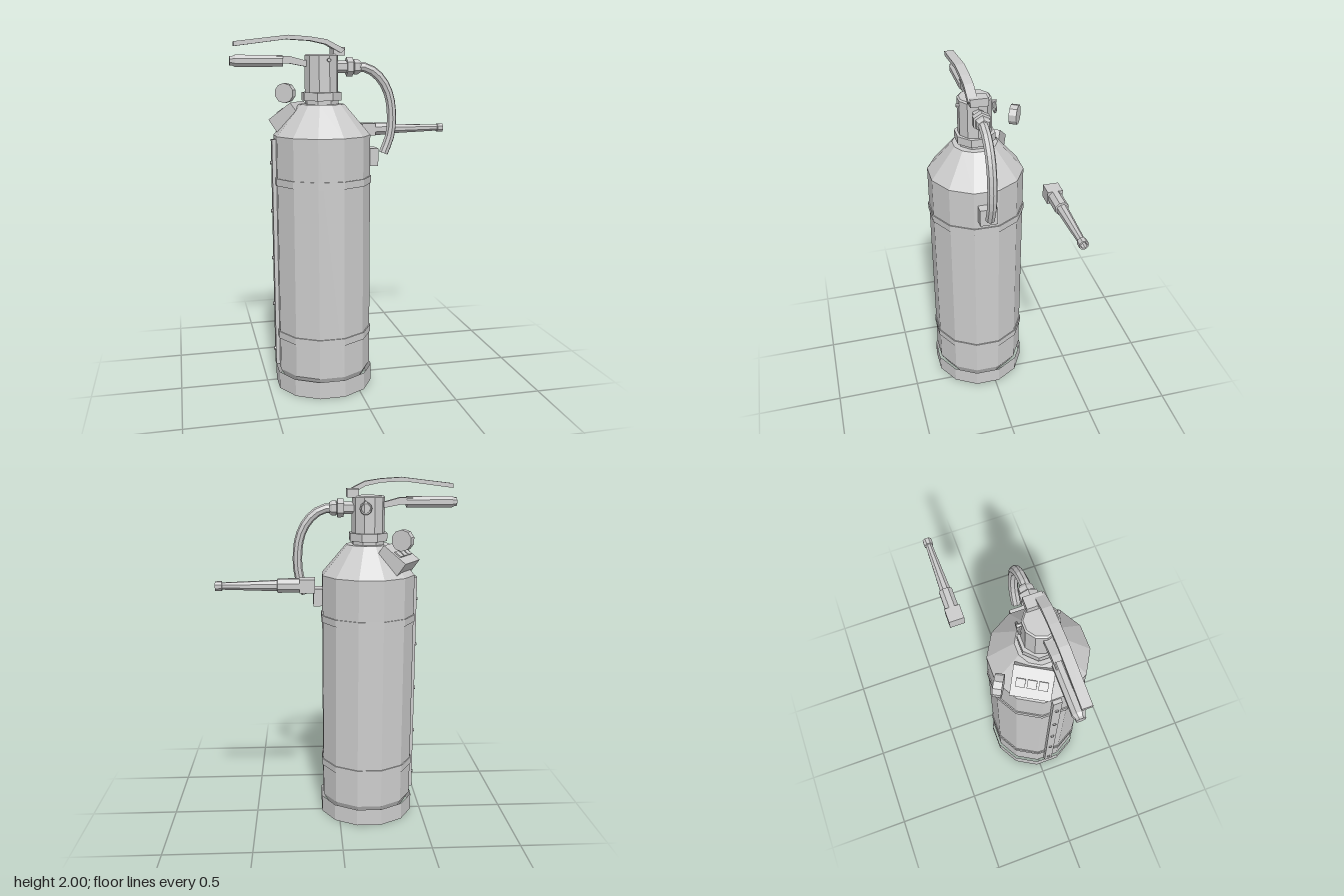
import * as THREE from 'three';

const grey = new THREE.MeshStandardMaterial({ color: 0xcccccc, flatShading: true });
const greyOpen = new THREE.MeshStandardMaterial({ color: 0xcccccc, flatShading: true, side: THREE.DoubleSide });
const AX = -0.17, AZ = 0.05; // cylinder axis
const V = (x, y, z) => new THREE.Vector3(x, y, z);

export function createModel() {
  const model = new THREE.Group();

  const add = (name, geo, x = 0, y = 0, z = 0, parent = model, mat = grey) => {
    const mesh = new THREE.Mesh(geo, mat);
    mesh.name = name;
    mesh.position.set(x, y, z);
    parent.add(mesh);
    return mesh;
  };
  const box = (w, h, d) => new THREE.BoxGeometry(w, h, d);
  // upright turned part; profile radii are distances to the flats
  const turned = (profile, sides) => new THREE.LatheGeometry(
    profile.map(([r, y]) => new THREE.Vector2(r / Math.cos(Math.PI / sides), y)), sides, Math.PI / sides);
  // turned part lying along +x
  const turnedX = (profile, sides) => turned(profile, sides).rotateZ(-Math.PI / 2);

  // tank with tapered bottom and sloped shoulder
  add('tank', turned([[0, 0.03], [0.215, 0.03], [0.262, 0.115], [0.262, 1.46], [0.122, 1.63], [0, 1.63]], 12), AX, 0, AZ);
  add('baseRing', turned([[0.272, 0], [0.272, 0.1]], 12), AX, 0, AZ, model, greyOpen);
  for (const y of [0.325, 1.21])
    add('tankBand', turned([[0.26, -0.02], [0.268, -0.02], [0.268, 0.02], [0.26, 0.02]], 12), AX, y, AZ);

  // riveted strip down the side
  add('sideStrip', box(0.03, 1.31, 0.05), -0.439, 0.785, AZ);
  for (let i = 0; i < 5; i++)
    add('rivet', new THREE.CylinderGeometry(0.01, 0.01, 0.012, 6).rotateZ(Math.PI / 2), -0.457, 0.22 + i * 0.2725, AZ);

  // slanted indicator box on the shoulder: local x runs outward, z along its length
  const panel = new THREE.Group();
  panel.name = 'indicatorPanel';
  panel.position.set(AX, 0, AZ);
  panel.rotation.y = Math.PI * 5 / 6;
  model.add(panel);
  const slant = new THREE.Group();
  slant.name = 'slantedBox';
  slant.position.set(0.211, 1.592, 0);
  slant.rotation.z = -0.63;
  panel.add(slant);
  add('panelBox', box(0.162, 0.09, 0.21), 0, -0.045, 0, slant);
  for (const z of [-0.058, 0, 0.058])
    add('indicatorWindow', box(0.045, 0.008, 0.048), 0.006, 0.003, z, slant);

  // round gauge beside the neck
  const gauge = add('gauge', new THREE.CylinderGeometry(0.058, 0.058, 0.045, 10).rotateX(Math.PI / 2), -0.333, 1.68, -0.223);
  gauge.rotation.y = -0.52;

  // neck nut and valve
  add('neckCollar', turned([[0.088, 1.62], [0.088, 1.655]], 8), AX, 0, AZ);
  add('neckNut', turned([[0, 1.65], [0.105, 1.65], [0.105, 1.695], [0, 1.695]], 8), AX, 0, AZ);
  add('valveBody', turned([[0.089, 1.69], [0.089, 1.893], [0.08, 1.9], [0, 1.9]], 10), AX, 0, AZ);
  add('pinRing', new THREE.TorusGeometry(0.03, 0.006, 5, 10), -0.147, 1.835, -0.055);
  add('safetyPin', new THREE.CylinderGeometry(0.01, 0.01, 0.22, 6).rotateX(Math.PI / 2), -0.147, 1.868, 0.045);

  // carrying handle with faceted grip
  const arm = new THREE.Shape([[-0.2, 1.835], [-0.2, 1.865], [-0.27, 1.868], [-0.35, 1.89], [-0.42, 1.89],
    [-0.42, 1.85], [-0.35, 1.85], [-0.27, 1.835]].map(p => new THREE.Vector2(...p)));
  add('handleArm', new THREE.ExtrudeGeometry(arm, { depth: 0.045, bevelEnabled: false }), 0, 0, 0.03);
  add('handleGrip', turnedX([[0, 0], [0.024, 0], [0.024, 0.012], [0.032, 0.03], [0.031, 0.285], [0, 0.285]], 8),
    -0.67, 1.864, 0.053);

  // squeeze lever and its pivot block
  const lever = new THREE.Shape([[-0.65, 1.94], [-0.37, 1.977], [-0.24, 1.97], [-0.155, 1.952], [-0.07, 1.905],
    [-0.05, 1.927], [-0.15, 1.978], [-0.24, 1.992], [-0.36, 2.0], [-0.65, 1.965]].map(p => new THREE.Vector2(...p)));
  add('squeezeLever', new THREE.ExtrudeGeometry(lever, { depth: 0.053, bevelEnabled: false }), 0, 0, 0.056);
  add('leverBlock', box(0.065, 0.045, 0.098), -0.08, 1.915, 0.05);

  // hose coupling and curved hose
  add('hoseCoupling', turnedX([[0.03, -0.11], [0.03, -0.03], [0.045, -0.03], [0.045, 0.005], [0.028, 0.01],
    [0.036, 0.012], [0.036, 0.035], [0.028, 0.05], [0, 0.05]], 6), 0, 1.832, AZ);
  const hosePath = new THREE.CatmullRomCurve3([V(0.02, 1.832, 0.055), V(0.09, 1.825, 0.055), V(0.165, 1.77, 0.055),
    V(0.215, 1.68, 0.055), V(0.233, 1.56, 0.055), V(0.225, 1.45, 0.055), V(0.187, 1.347, 0.055)]);
  add('hose', new THREE.TubeGeometry(hosePath, 12, 0.027, 8), 0, 0, 0, model, greyOpen);
  const hoseEnd = add('hoseEnd', new THREE.CircleGeometry(0.027, 8), 0.187, 1.347, 0.055, model, greyOpen);
  hoseEnd.lookAt(hoseEnd.position.clone().add(hosePath.getTangent(1)));
  add('hoseClip', box(0.065, 0.1, 0.1), 0.1125, 1.33, AZ);

  // separate discharge nozzle with hollow tip
  add('nozzleBlock', box(0.082, 0.072, 0.084), 0.181, 1.454, -0.292);
  add('nozzle', turnedX([[0.036, 0.2], [0.036, 0.337], [0.028, 0.34], [0.018, 0.628], [0.024, 0.63], [0.024, 0.665],
    [0.016, 0.665], [0.014, 0.58], [0, 0.58]], 8), 0, 1.454, -0.292);

  return model;
}
